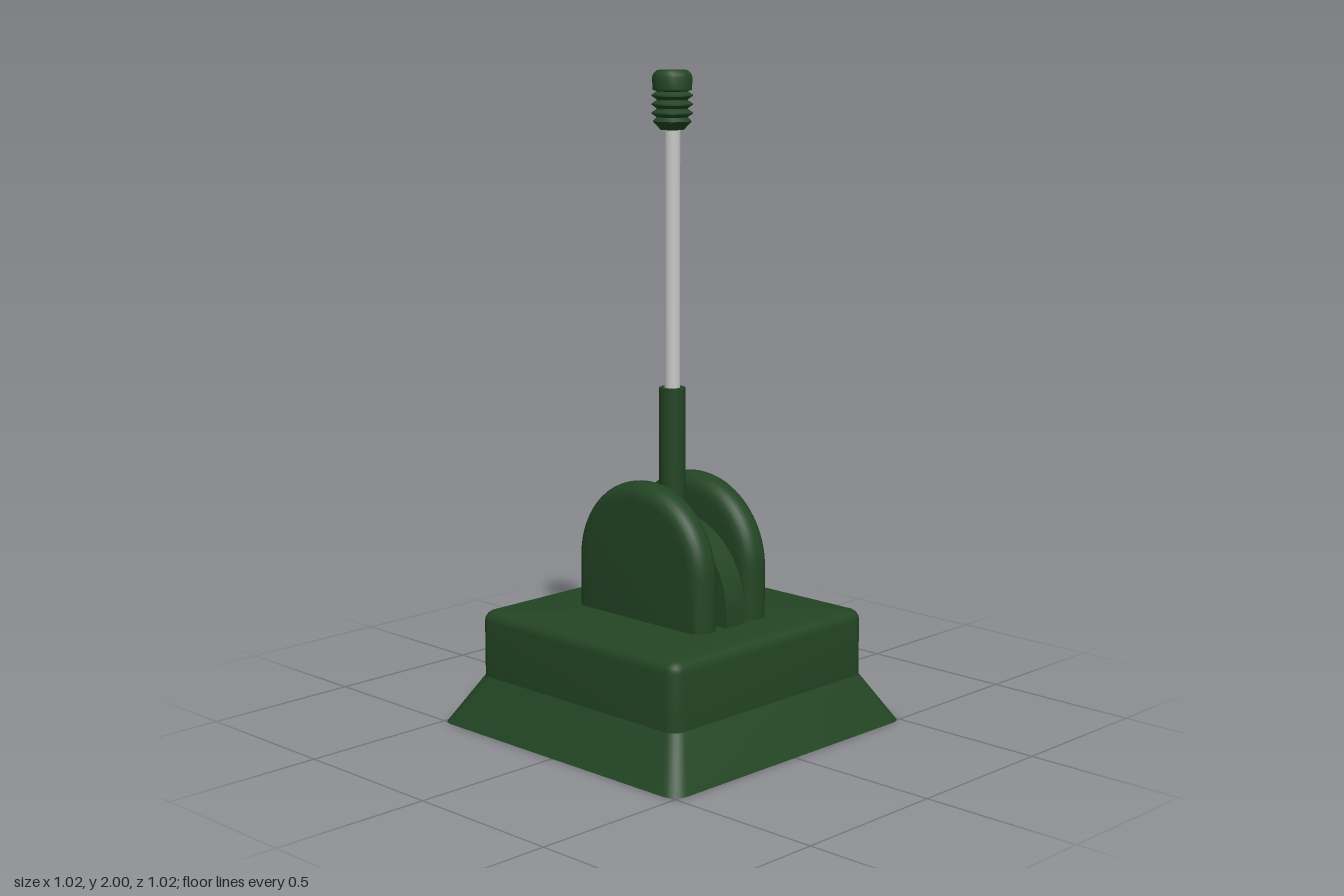
import * as THREE from 'three';
import { toCreasedNormals } from 'three/addons/utils/BufferGeometryUtils.js';

// Rounded square ring of points at height y
function squareRing(half, radius, y, seg = 6) {
  const pts = [];
  for (let q = 0; q < 4; q++) {
    const mid = Math.PI / 4 + q * Math.PI / 2;
    const cx = Math.sign(Math.cos(mid)) * (half - radius);
    const cz = Math.sign(Math.sin(mid)) * (half - radius);
    for (let i = 0; i <= seg; i++) {
      const a = (q + i / seg) * Math.PI / 2;
      pts.push(cx + Math.cos(a) * radius, y, cz + Math.sin(a) * radius);
    }
  }
  return pts;
}

// Skin a stack of equal rings and close both ends
function loft(rings) {
  const n = rings[0].length / 3, last = (rings.length - 1) * n;
  const pos = rings.flat(), idx = [];
  for (let r = 0; r < rings.length - 1; r++) {
    for (let i = 0; i < n; i++) {
      const a = r * n + i, b = r * n + (i + 1) % n;
      idx.push(a, a + n, b, b, a + n, b + n);
    }
  }
  const bottom = pos.length / 3, top = bottom + 1;
  pos.push(0, rings[0][1], 0, 0, rings[rings.length - 1][1], 0);
  for (let i = 0; i < n; i++) {
    const j = (i + 1) % n;
    idx.push(bottom, i, j, top, last + j, last + i);
  }
  const geo = new THREE.BufferGeometry();
  geo.setAttribute('position', new THREE.Float32BufferAttribute(pos, 3));
  geo.setIndex(idx);
  return toCreasedNormals(geo, 0.45);
}

// Arched plate standing in the y-z plane, centred on x = 0
function archPlate(radius, centreY, bottomY, width, bevel) {
  const shape = new THREE.Shape();
  shape.moveTo(-radius, bottomY);
  shape.lineTo(radius, bottomY);
  shape.lineTo(radius, centreY);
  shape.absarc(0, centreY, radius, 0, Math.PI, false);
  shape.closePath();
  const depth = width - 2 * bevel;
  const geo = new THREE.ExtrudeGeometry(shape, {
    depth, curveSegments: 20, bevelEnabled: bevel > 0, bevelSize: bevel,
    bevelThickness: bevel, bevelOffset: -bevel, bevelSegments: 6,
  });
  geo.translate(0, 0, -depth / 2);
  geo.rotateY(Math.PI / 2);
  return toCreasedNormals(geo, 0.6);
}

export function createModel() {
  const model = new THREE.Group();
  model.name = 'leverSwitch';
  const green = new THREE.MeshStandardMaterial({ color: 0x234524 });
  green.name = 'dark green';
  const steel = new THREE.MeshStandardMaterial({ color: 0xc8c8c8 });
  steel.name = 'light steel';

  const add = (name, geo, mat, x = 0, y = 0) => {
    const mesh = new THREE.Mesh(geo, mat);
    mesh.name = name;
    mesh.position.set(x, y, 0);
    model.add(mesh);
  };

  // Base: flared skirt, straight block and rounded top edge
  const rings = [squareRing(0.508, 0.05, 0), squareRing(0.42, 0.042, 0.15)];
  for (let i = 0; i <= 4; i++) {
    const a = i / 4 * Math.PI / 2, inset = 0.032 * (1 - Math.cos(a));
    rings.push(squareRing(0.42 - inset, 0.042 - inset, 0.323 + 0.032 * Math.sin(a)));
  }
  add('base', loft(rings), green);

  // Rounded cheeks either side of the lever
  for (const side of [-1, 1]) {
    add(side > 0 ? 'leftCheek' : 'rightCheek',
      archPlate(0.265, 0.51, 0.28, 0.1, 0.046), green, side * 0.109);
  }

  // Pivot disc between the cheeks
  add('pivotDisc', archPlate(0.265, 0.395, 0.3, 0.08, 0), green);

  // Lever: steel rod, sleeve and ribbed knob
  add('rod', new THREE.CylinderGeometry(0.024, 0.024, 1.23, 20), steel, 0, 1.235);
  add('sleeve', new THREE.CylinderGeometry(0.04, 0.04, 0.365, 24), green, 0, 0.8675);

  const profile = [[0, 1.825], [0.035, 1.825], [0.058, 1.85]];
  for (let i = 0; i < 3; i++) {
    const y = 1.862 + i * 0.026;
    profile.push([0.046, y], [0.061, y + 0.01], [0.061, y + 0.014], [0.046, y + 0.024]);
  }
  profile.push([0.058, 1.942], [0.06, 1.978], [0.056, 1.99], [0.046, 2], [0, 2]);
  const knob = new THREE.LatheGeometry(profile.map(([r, y]) => new THREE.Vector2(r, y)), 16);
  add('knob', toCreasedNormals(knob, 0.75), green);

  return model;
}
